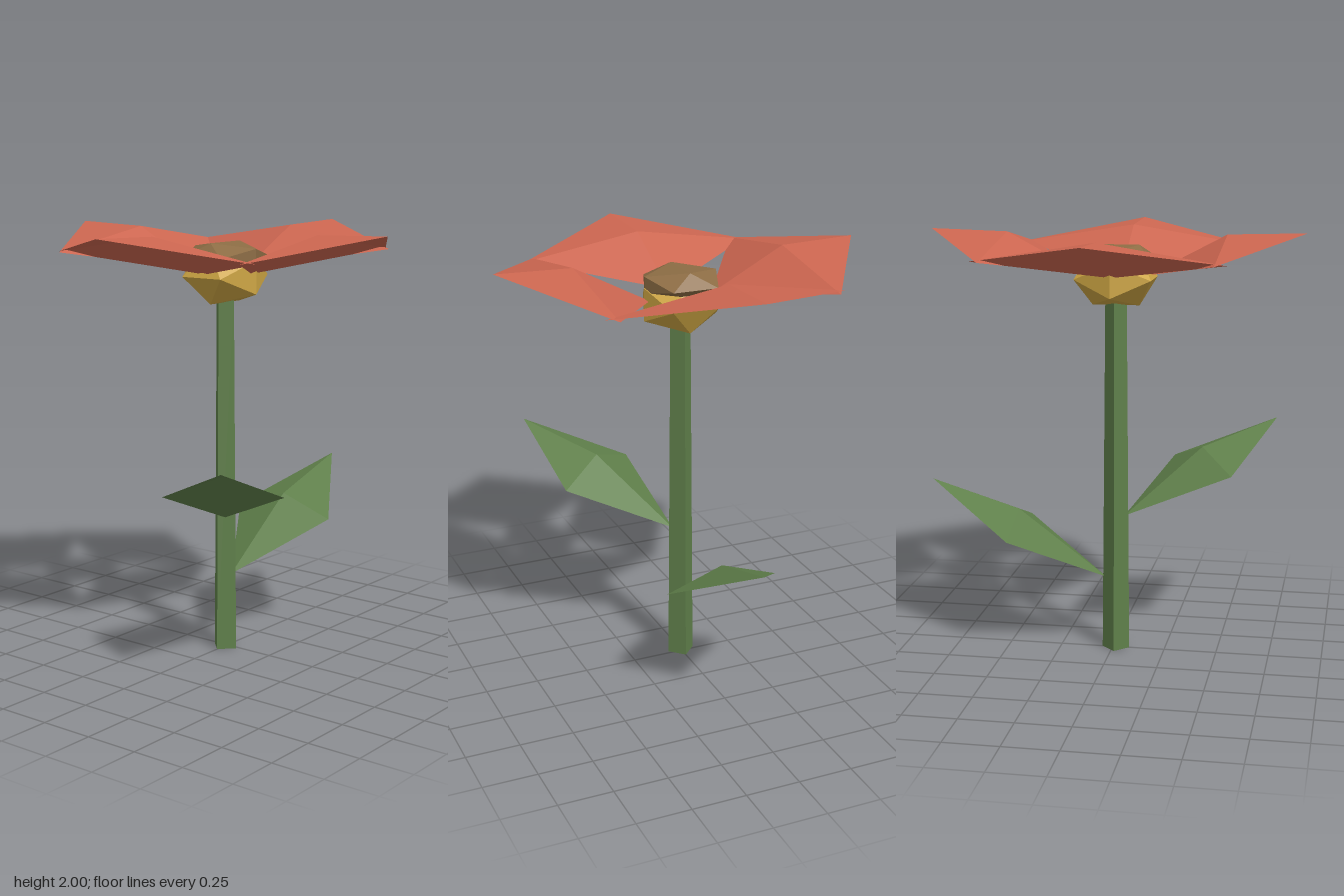
import * as THREE from 'three';

const make = (name, color, side = THREE.FrontSide) => {
  const m = new THREE.MeshStandardMaterial({ color, flatShading: true, side });
  m.name = name;
  return m;
};

// Folded four-triangle blade pointing along +x, with a raised middle.
function bladeGeometry({ r0, r1, y0, y1, halfWidth, lift }) {
  const r = (r0 + r1) / 2, y = (y0 + y1) / 2;
  const base = [r0, y0, 0], tip = [r1, y1, 0], mid = [r, y + lift, 0];
  const left = [r, y, -halfWidth], right = [r, y, halfWidth];
  const faces = [base, right, mid, right, tip, mid, tip, left, mid, left, base, mid];
  const g = new THREE.BufferGeometry();
  g.setAttribute('position', new THREE.Float32BufferAttribute(faces.flat(), 3));
  g.computeVertexNormals();
  return g;
}

export function createModel() {
  const green = make('leaf green', 0x5f7f4a, THREE.DoubleSide);
  const red = make('petal red', 0xcc6650, THREE.DoubleSide);
  const yellow = make('centre yellow', 0xcda543);
  const brown = make('seed brown', 0x8c6c44);

  const flower = new THREE.Group();
  flower.name = 'flower';
  flower.position.x = -0.015;

  const add = (name, geometry, material, y = 0, angle = 0) => {
    const mesh = new THREE.Mesh(geometry, material);
    mesh.name = name;
    mesh.position.y = y;
    mesh.rotation.y = -angle; // angle turns from +x towards +z
    flower.add(mesh);
    return mesh;
  };

  // Tapered square stem
  add('stem', new THREE.CylinderGeometry(0.05, 0.065, 1.72, 4), green, 0.86);

  // Leaves
  const leaf = { r0: 0.045, r1: 0.895, halfWidth: 0.27, lift: 0.093 };
  add('lowerLeaf', bladeGeometry({ ...leaf, y0: 0.35, y1: 0.8 }), green);
  add('upperLeaf', bladeGeometry({ ...leaf, y0: 0.65, y1: 1.05 }), green, 0, 2.5);

  // Flattened flower centre and seed cap
  add('flowerCentre', new THREE.IcosahedronGeometry(0.209, 0).scale(1, 0.7, 1), yellow, 1.785);
  add('seedCap', new THREE.IcosahedronGeometry(0.206, 0).scale(1, 0.36, 1), brown, 1.875);

  // Four petals
  const petal = bladeGeometry({ r0: 0.15, r1: 0.87, y0: 1.8, y1: 2, halfWidth: 0.56, lift: 0.09 });
  for (let i = 0; i < 4; i++) add('petal' + (i + 1), petal, red, 0, (i * Math.PI) / 2);

  const model = new THREE.Group();
  model.name = 'flowerModel';
  model.add(flower);
  return model;
}
